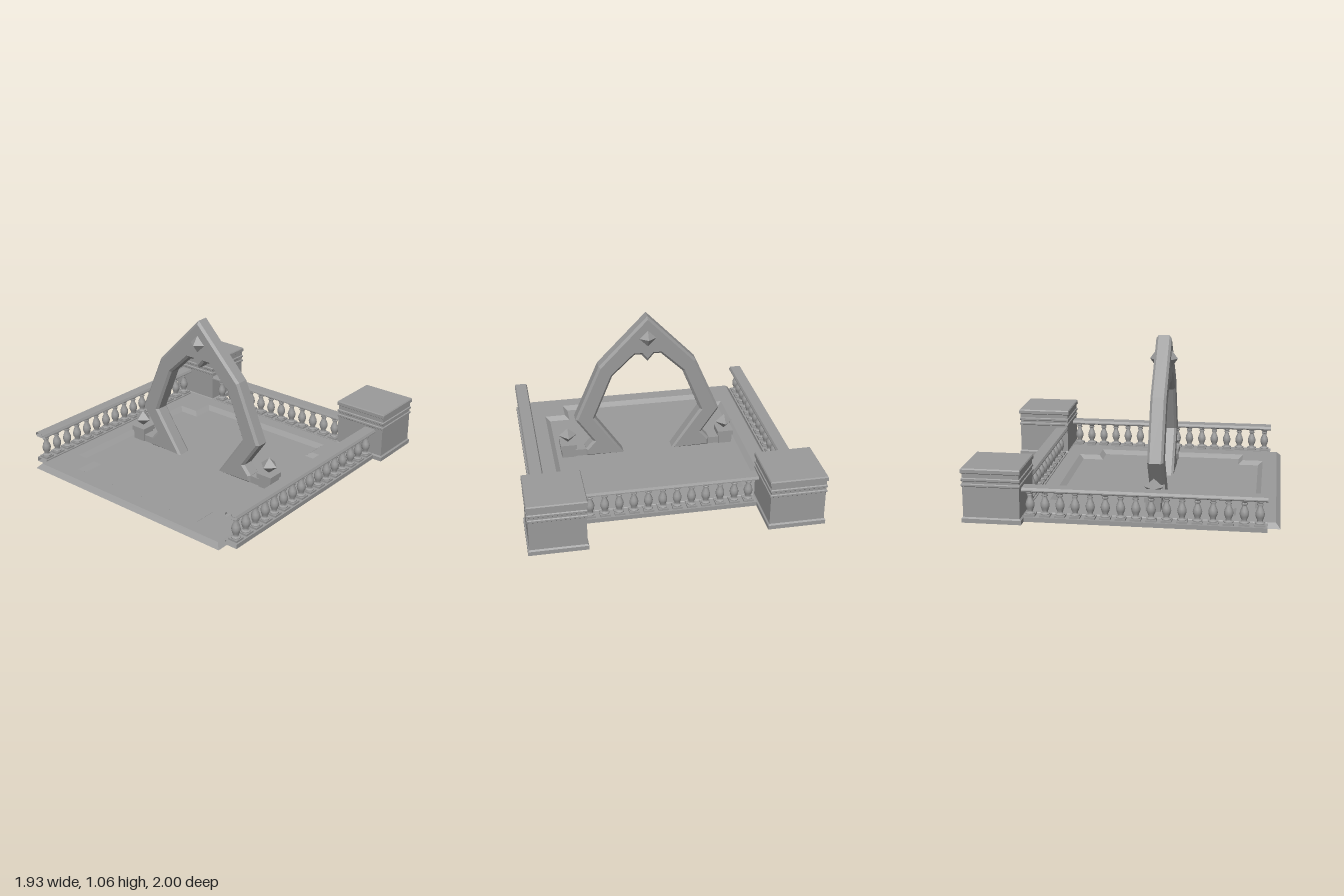
import * as THREE from 'three';
import { toCreasedNormals } from 'three/addons/utils/BufferGeometryUtils.js';

const stone = new THREE.MeshStandardMaterial({ color: 0x9b9b9b, flatShading: true, side: THREE.DoubleSide });
const turned = new THREE.MeshStandardMaterial({ color: 0x9b9b9b, side: THREE.DoubleSide });
const V2 = (pts) => pts.map(([x, y]) => new THREE.Vector2(x, y));

function add(parent, name, geometry, x = 0, y = 0, z = 0, material = stone) {
  const mesh = new THREE.Mesh(geometry, material);
  mesh.name = name;
  mesh.position.set(x, y, z);
  parent.add(mesh);
  return mesh;
}

// Band of faces joining two horizontal outlines given as [x, z] points
function strip(lower, yLower, upper, yUpper) {
  const pos = [];
  lower.forEach((a, i) => {
    const j = (i + 1) % lower.length;
    const A = [a[0], yLower, a[1]], B = [lower[j][0], yLower, lower[j][1]];
    const C = [upper[j][0], yUpper, upper[j][1]], D = [upper[i][0], yUpper, upper[i][1]];
    pos.push(...A, ...B, ...C, ...A, ...C, ...D);
  });
  const g = new THREE.BufferGeometry();
  g.setAttribute('position', new THREE.Float32BufferAttribute(pos, 3));
  g.computeVertexNormals();
  return g;
}

// Horizontal sheet from [x, z] outlines
function sheet(outline, hole) {
  const flip = (pts) => V2(pts.map(([x, z]) => [x, -z]));
  const shape = new THREE.Shape(flip(outline));
  if (hole) shape.holes.push(new THREE.Path(flip(hole)));
  return new THREE.ShapeGeometry(shape).rotateX(-Math.PI / 2);
}

const rect = (x, z0, z1) => [[-x, z1], [x, z1], [x, z0], [-x, z0]];

// Square with notched corners: half size h, notches starting at n
function notched(h, n) {
  const corner = [[n, h], [n, n], [h, n]];
  const pts = [];
  for (const [sx, sz] of [[1, 1], [1, -1], [-1, -1], [-1, 1]]) {
    const ordered = sx === sz ? corner : [...corner].reverse();
    ordered.forEach(([x, z]) => pts.push([sx * x, 0.1725 + sz * z]));
  }
  return pts.reverse();
}

function createFloor() {
  const g = new THREE.Group();
  g.name = 'floor';
  const rim = rect(0.795, -0.62, 0.97);
  const outerStep = notched(0.694, 0.543), innerStep = notched(0.66, 0.511);
  add(g, 'floorBorder', sheet(rim, outerStep), 0, 0.032);
  add(g, 'floorBevel', strip(rect(0.825, -0.65, 1.0), 0, rim, 0.032));
  add(g, 'recessSlope', strip(innerStep, 0.005, outerStep, 0.032));
  add(g, 'recessPanel', sheet(innerStep), 0, 0.005);
  return g;
}

function createArch() {
  const half = [
    [0.347, 0.705], [0.523, 0.30], [0.4, 0.12], [0.455, 0.057], [0.455, 0],
    [0.175, 0], [0.383, 0.305], [0.252, 0.625], [0.093, 0.776], [0.045, 0.776],
  ];
  const left = half.map(([x, y]) => [-x, y]).reverse();
  const shape = new THREE.Shape(V2([[0, 1.062], ...half, [0, 0.722], ...left]));
  const b = 0.016, depth = 0.107;
  const geo = new THREE.ExtrudeGeometry(shape, {
    depth: depth - 2 * b, bevelSize: b, bevelThickness: b, bevelOffset: -b, bevelSegments: 1,
  }).translate(0, 0, -depth / 2 + b);
  const g = new THREE.Group();
  g.name = 'archway';
  add(g, 'arch', geo);
  for (const s of [-1, 1]) {
    // Pyramid stud on each face of the arch
    const stud = new THREE.ConeGeometry(0.06, 0.043, 4, 1, true).rotateX(s * Math.PI / 2);
    add(g, 'archStud', stud, 0, 0.9, s * (depth / 2 + 0.021));
    // Toe and small pedestal carrying a diamond beside each foot
    add(g, 'footToe', new THREE.BoxGeometry(0.1, 0.055, 0.08), s * 0.49, 0.0275);
    add(g, 'pedestalBody', new THREE.BoxGeometry(0.098, 0.075, 0.098), s * 0.578, 0.0375);
    add(g, 'pedestalCap', new THREE.BoxGeometry(0.116, 0.034, 0.116), s * 0.578, 0.089);
    add(g, 'pedestalDiamond', new THREE.OctahedronGeometry(1).scale(0.064, 0.056, 0.064), s * 0.578, 0.162);
  }
  g.position.z = 0.1775;
  return g;
}

const balusterGeo = toCreasedNormals(new THREE.LatheGeometry(V2([
  [0.03, 0.042], [0.03, 0.05], [0.019, 0.056], [0.017, 0.064], [0.026, 0.086], [0.03, 0.104],
  [0.026, 0.124], [0.016, 0.148], [0.014, 0.162], [0.02, 0.165], [0.02, 0.173], [0.016, 0.176],
  [0.02, 0.184], [0.03, 0.188], [0.03, 0.2],
]), 12), 0.7);
const plinthGeo = new THREE.BoxGeometry(0.068, 0.014, 0.068).translate(0, 0.036, 0);

// Balustrade running along its own z axis, centred on the origin
function createBalustrade(name, length, count, first) {
  const g = new THREE.Group();
  g.name = name;
  // Open-ended rail from a clockwise [x, y] cross-section
  const rail = (pts) => strip(pts, -length / 2, pts, length / 2).rotateX(-Math.PI / 2);
  add(g, 'handrail', rail([
    [-0.047, 0.203], [-0.047, 0.21], [-0.039, 0.225], [0.039, 0.225],
    [0.047, 0.21], [0.047, 0.203], [0.034, 0.195], [-0.034, 0.195],
  ]));
  add(g, 'bottomRail', rail([[-0.045, 0.03], [0.045, 0.03], [0.045, 0], [-0.045, 0]]));
  for (let i = 0; i < count; i++) {
    const z = first - i * 0.0968;
    add(g, 'baluster', balusterGeo, 0, 0, z, turned);
    add(g, 'balusterPlinth', plinthGeo, 0, 0, z);
  }
  return g;
}

// Square pillar with moulded bands, open underneath
function createPillar(x) {
  const profile = [
    [0.192, 0], [0.192, 0.028], [0.183, 0.037], [0.183, 0.236], [0.189, 0.241], [0.189, 0.253],
    [0.183, 0.258], [0.183, 0.272], [0.189, 0.277], [0.189, 0.29], [0.183, 0.295], [0.183, 0.322],
    [0.192, 0.328], [0.192, 0.35], [0.187, 0.358], [0, 0.358],
  ].map(([r, y]) => [r * Math.SQRT2, y]);
  const g = new THREE.Group();
  g.name = 'cornerPillar';
  add(g, 'pillar', new THREE.LatheGeometry(V2(profile), 4).rotateY(Math.PI / 4));
  g.position.set(x, 0, -0.808);
  return g;
}

export function createModel() {
  const model = new THREE.Group();
  model.name = 'terrace';
  model.add(createFloor(), createArch());
  for (const s of [-1, 1]) {
    const side = createBalustrade('sideBalustrade', 1.55, 16, 0.726);
    side.position.set(s * 0.855, 0, 0.145);
    model.add(side, createPillar(s * 0.774));
  }
  const back = createBalustrade('backBalustrade', 1.18, 12, 0.5324);
  back.rotation.y = Math.PI / 2;
  back.position.z = -0.672;
  model.add(back);
  return model;
}
